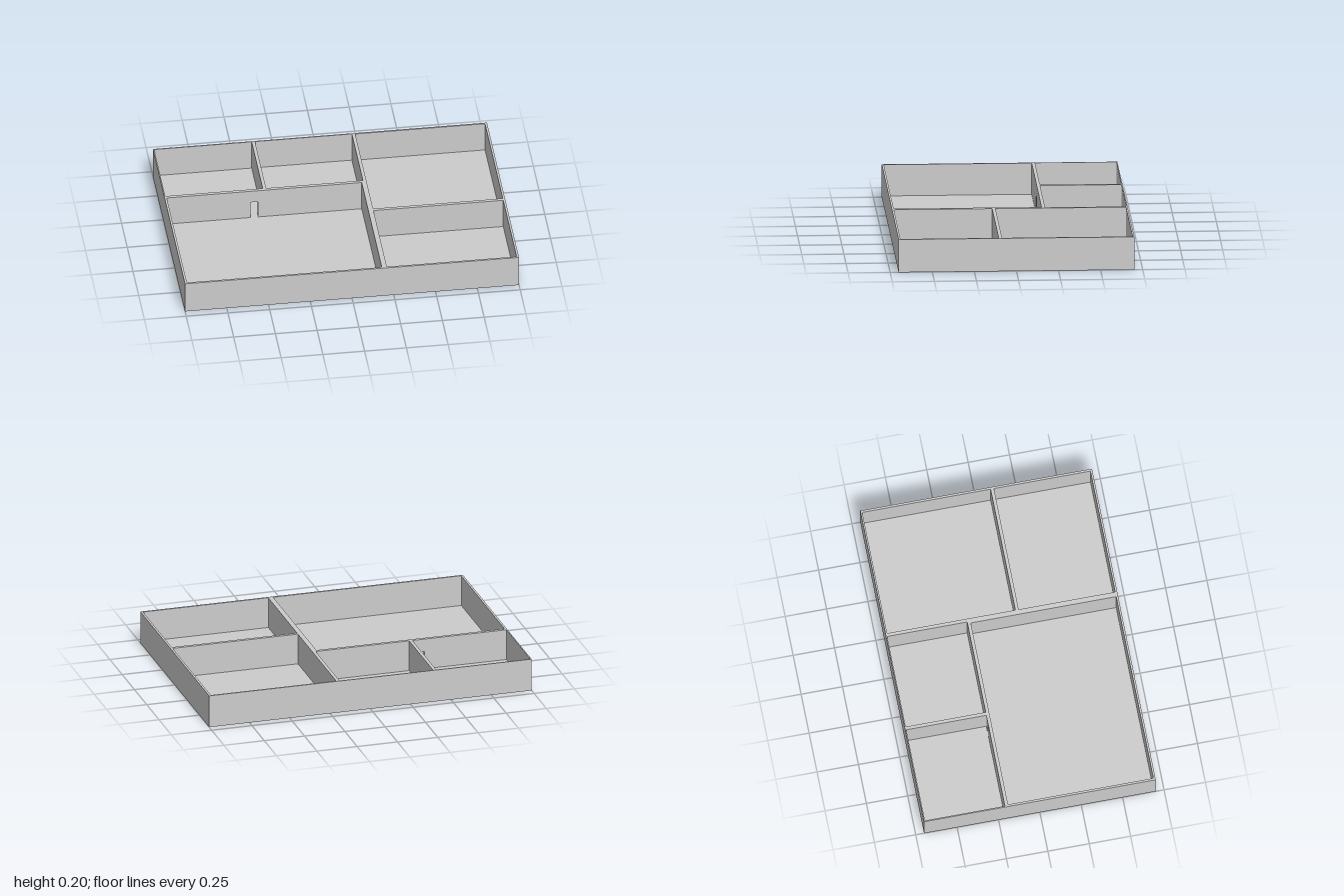
import * as THREE from 'three';

const FLOOR = 0.01, TOP = 0.2;

export function createModel() {
  const tray = new THREE.Group();
  tray.name = 'compartmentTray';
  const material = new THREE.MeshStandardMaterial({ color: 0xcccccc, flatShading: true });

  // Box given by its bounds in x, z and y
  const block = (name, x0, x1, z0, z1, y0 = FLOOR, y1 = TOP) => {
    const mesh = new THREE.Mesh(new THREE.BoxGeometry(x1 - x0, y1 - y0, z1 - z0), material);
    mesh.position.set((x0 + x1) / 2, (y0 + y1) / 2, (z0 + z1) / 2);
    mesh.name = name;
    tray.add(mesh);
  };

  block('floor', -1, 1, -0.7, 0.7, 0, FLOOR);

  // Outer walls, slightly thinner around the two small back compartments
  block('backWallRight', -1, 0.19, -0.7, -0.693);
  block('backWallLeft', 0.21, 1, -0.7, -0.69);
  block('frontWall', -1, 1, 0.688, 0.7);
  block('leftWall', 0.987, 1, -0.69, 0.688);
  block('rightWallBack', -1, -0.993, -0.693, -0.21);
  block('rightWallFront', -1, -0.987, -0.19, 0.688);

  // Plain dividers
  block('longDividerBack', 0.19, 0.21, -0.7, -0.19);
  block('longDividerFront', 0.18, 0.21, -0.19, 0.688);
  block('smallCompartmentDivider', -0.41, -0.39, -0.693, -0.21);
  block('leftCompartmentDivider', 0.21, 0.987, 0.085, 0.105);

  // Divider with a narrow pass-through slot rising from the floor
  const outline = new THREE.Shape([
    [-1, FLOOR], [-0.485, FLOOR], [-0.485, 0.12], [-0.44, 0.12],
    [-0.44, FLOOR], [0.19, FLOOR], [0.19, TOP], [-1, TOP],
  ].map(([x, y]) => new THREE.Vector2(x, y)));
  const slotted = new THREE.Mesh(
    new THREE.ExtrudeGeometry(outline, { depth: 0.02, bevelEnabled: false }), material);
  slotted.position.z = -0.21;
  slotted.name = 'slottedDivider';
  tray.add(slotted);

  return tray;
}
